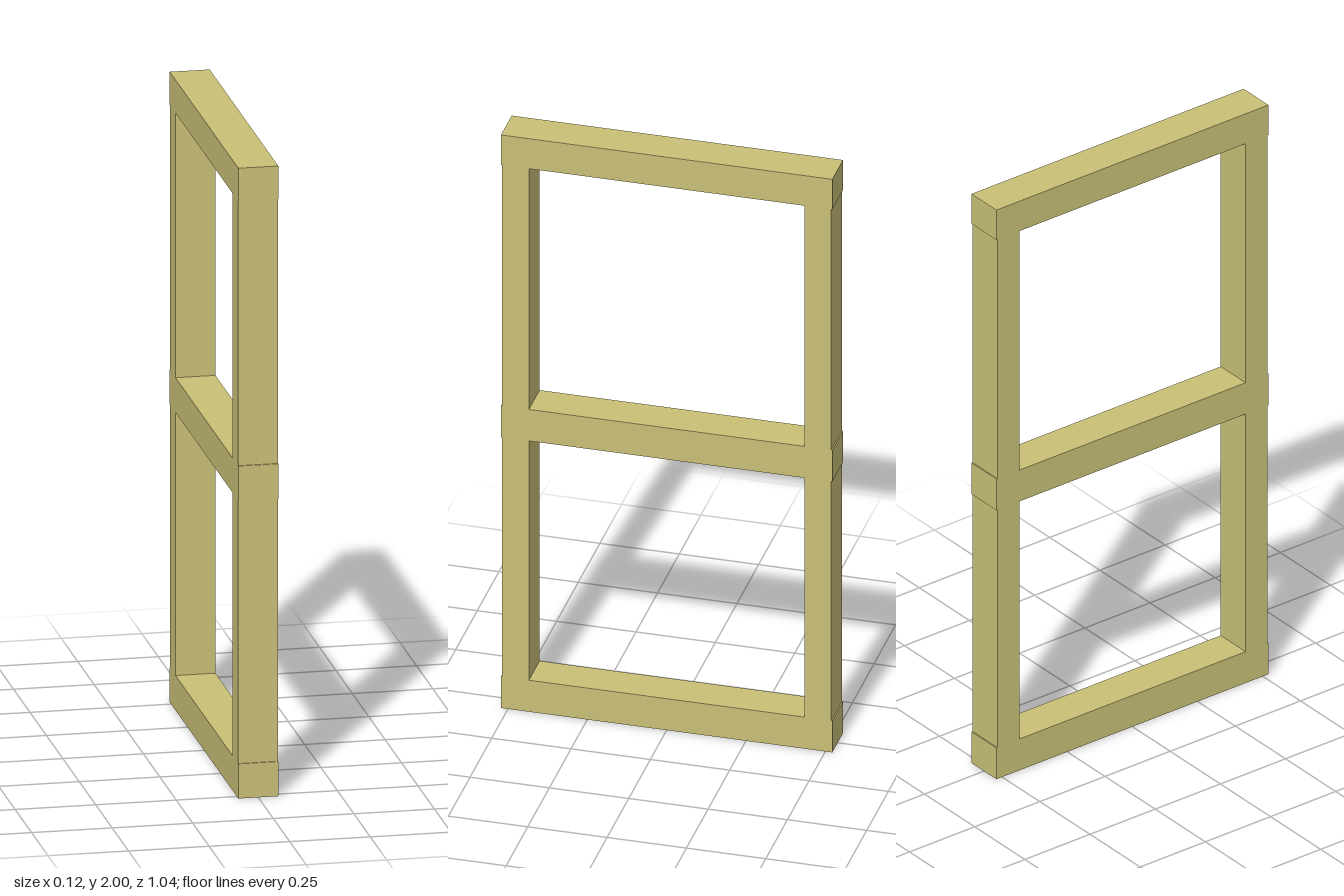
import * as THREE from 'three';

export function createModel() {
  const model = new THREE.Group();
  model.name = 'windowFrame';
  const wood = new THREE.MeshStandardMaterial({ color: 0xc9c077 });
  wood.name = 'pale wood';

  const depth = 0.124;
  const addBeam = (name, y0, y1, z0, z1) => {
    const beam = new THREE.Mesh(new THREE.BoxGeometry(depth, y1 - y0, z1 - z0), wood);
    beam.name = name;
    beam.position.set(0, (y0 + y1) / 2, (z0 + z1) / 2);
    model.add(beam);
  };

  // Horizontal rails, standing slightly proud of the posts
  const rails = [['bottomRail', 0, 0.11], ['middleRail', 0.945, 1.055], ['topRail', 1.895, 2]];
  for (const [name, y0, y1] of rails) addBeam(name, y0, y1, -0.522, 0.522);

  // Upright posts between neighbouring rails
  for (let i = 0; i < 2; i++) {
    const y0 = rails[i][2], y1 = rails[i + 1][1];
    const level = i ? 'upper' : 'lower';
    addBeam(level + 'FrontPost', y0, y1, 0.434, 0.518);
    addBeam(level + 'BackPost', y0, y1, -0.518, -0.434);
  }
  return model;
}
